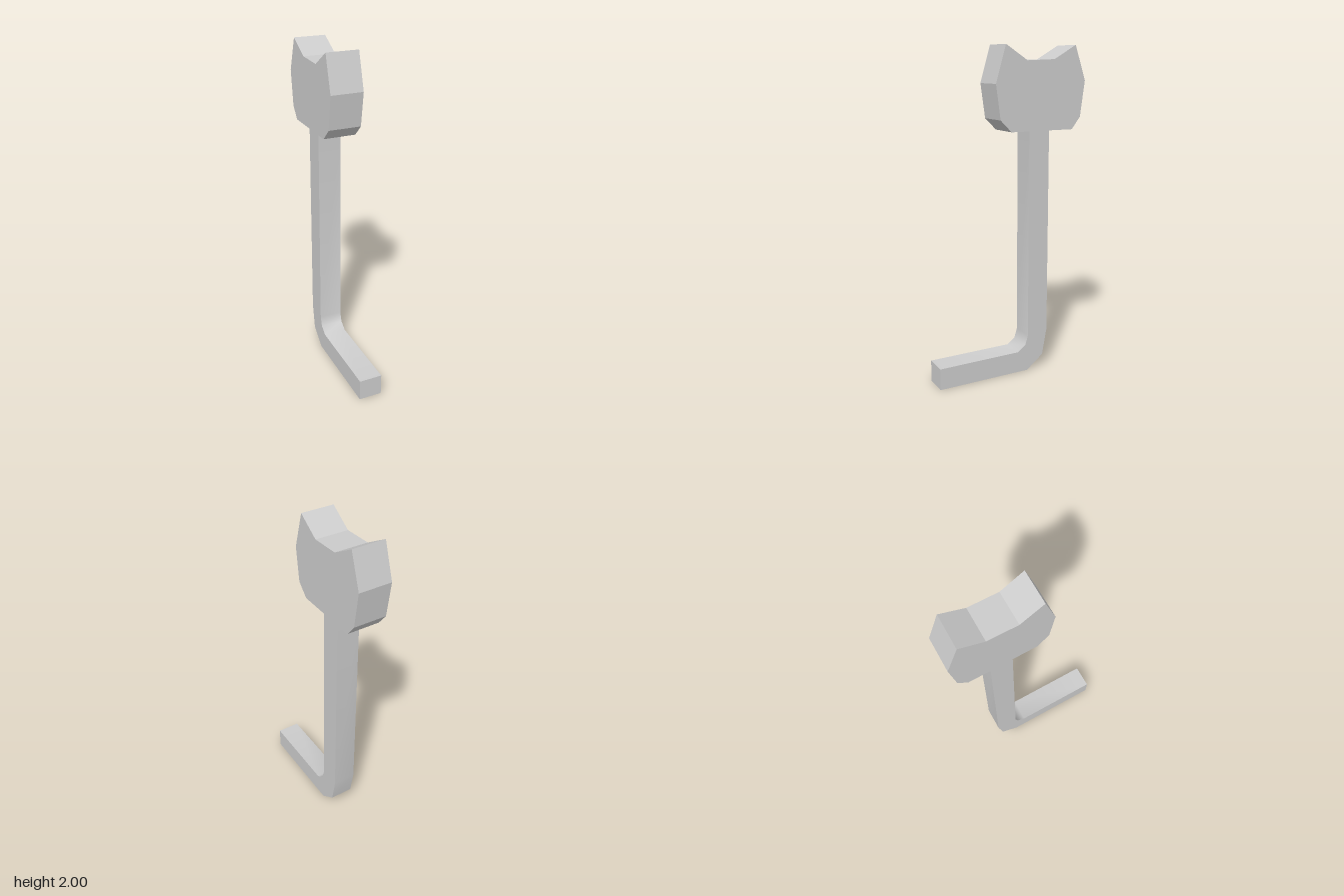
import * as THREE from 'three';
import { toCreasedNormals } from 'three/addons/utils/BufferGeometryUtils.js';

const material = new THREE.MeshStandardMaterial({ color: 0xcccccc });

// Extrudes a side profile of [z, y] points from x0 to x1.
function sidePlate(name, profile, x0, x1, crease) {
  const shape = new THREE.Shape(profile.map(([z, y]) => new THREE.Vector2(-z, y)));
  let geometry = new THREE.ExtrudeGeometry(shape, { depth: x1 - x0, bevelEnabled: false });
  geometry.rotateY(Math.PI / 2).translate(x0, 0, 0);
  if (crease) geometry = toCreasedNormals(geometry, crease);
  const mesh = new THREE.Mesh(geometry, material);
  mesh.name = name;
  return mesh;
}

export function createModel() {
  const group = new THREE.Group();
  group.name = 'leverWithPad';

  // Square bar: foot running forward, chamfered bend, upright stem
  group.add(sidePlate('bentBar', [
    [0.48, 0], [-0.11, 0], [-0.22, 0.085], [-0.25, 0.25], [-0.25, 1.51],
    [-0.115, 1.51], [-0.115, 0.23], [-0.097, 0.17], [-0.045, 0.132], [0.48, 0.132],
  ], -0.075, 0.067, 0.72));

  // Faceted pad with two raised corners
  group.add(sidePlate('headPad', [
    [0.02, 1.508], [-0.39, 1.508], [-0.447, 1.58], [-0.477, 1.795], [-0.407, 2],
    [-0.262, 1.918], [-0.083, 1.911], [0.056, 2], [0.12, 1.782], [0.091, 1.578],
  ], -0.1, 0.098));

  return group;
}
